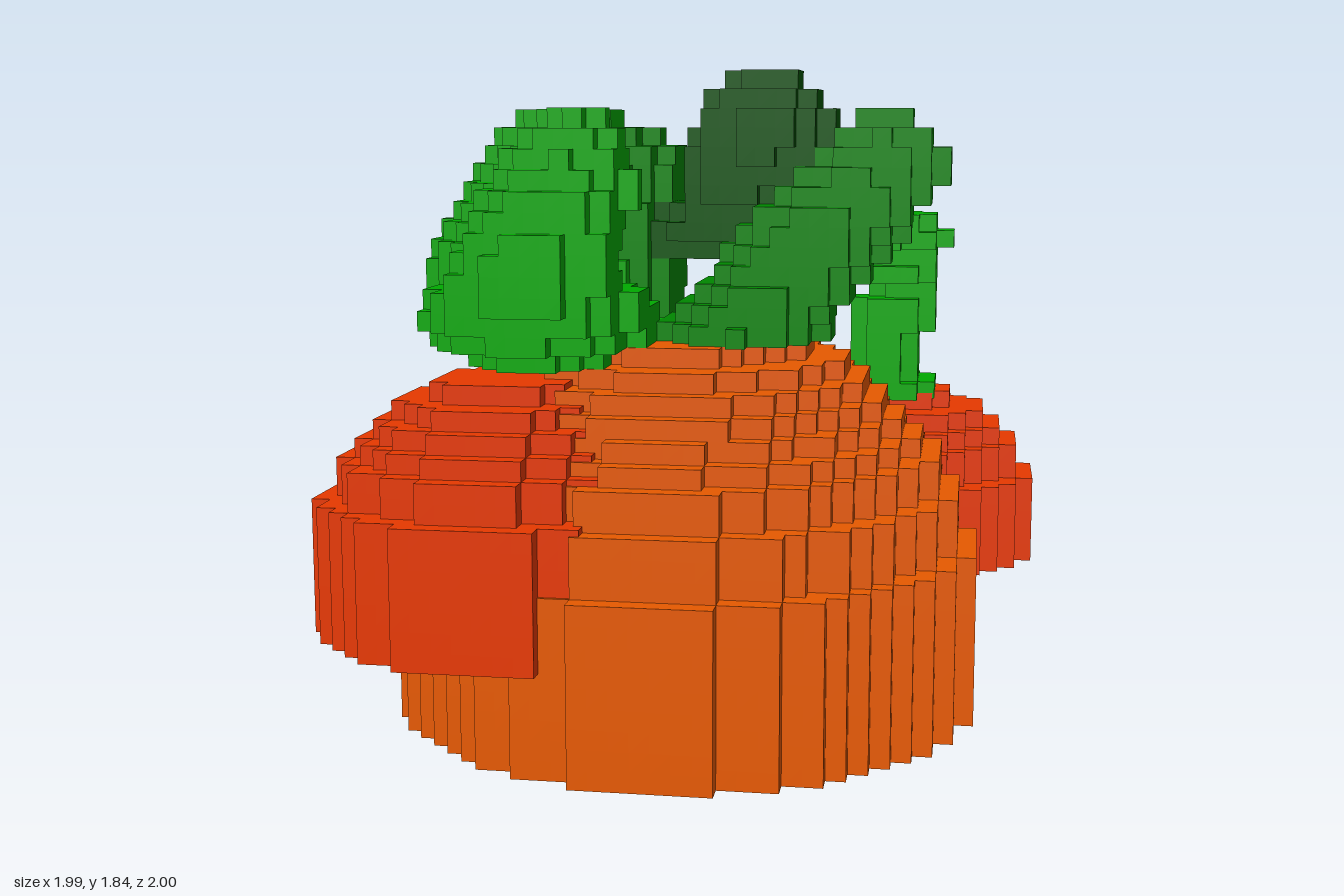
import * as THREE from 'three';

const V = 2 / 37; // edge of one cube

const mat = (name, color) => Object.assign(new THREE.MeshStandardMaterial({ color }), { name });

// unit directions with two tangents (u x v = n) for each cube face
const FACES = [
  [[1, 0, 0], [0, 1, 0], [0, 0, 1]], [[-1, 0, 0], [0, 0, 1], [0, 1, 0]],
  [[0, 1, 0], [0, 0, 1], [1, 0, 0]], [[0, -1, 0], [1, 0, 0], [0, 0, 1]],
  [[0, 0, 1], [1, 0, 0], [0, 1, 0]], [[0, 0, -1], [0, 1, 0], [1, 0, 0]],
];

// builds the visible faces of a set of cubes; origin is the floor centre of cube (0, 0, 0)
function voxelMesh(name, material, origin, cells) {
  const pos = [], nor = [], idx = [];
  const keys = new Set(cells.map((c) => c.join()));
  for (const c of cells) {
    for (const [n, u, v] of FACES) {
      if (keys.has(c.map((q, a) => q + n[a]).join())) continue;
      const b = pos.length / 3;
      for (const [s, t] of [[-1, -1], [1, -1], [1, 1], [-1, 1]]) {
        for (let a = 0; a < 3; a++) {
          const mid = c[a] + (a === 1 ? 0.5 : 0);
          pos.push(origin[a] + V * (mid + 0.5 * (n[a] + s * u[a] + t * v[a])));
        }
        nor.push(...n);
      }
      idx.push(b, b + 1, b + 2, b, b + 2, b + 3);
    }
  }
  const g = new THREE.BufferGeometry();
  g.setAttribute('position', new THREE.Float32BufferAttribute(pos, 3));
  g.setAttribute('normal', new THREE.Float32BufferAttribute(nor, 3));
  g.setIndex(idx);
  const mesh = new THREE.Mesh(g, material);
  mesh.name = name;
  return mesh;
}

// stack of discs; runs are [number of layers, radius, x shift, z shift] in cubes
function discStack(name, material, origin, runs) {
  const cells = [];
  let j = 0;
  for (const [count, r, dx = 0, dz = 0] of runs) {
    const R = Math.ceil(r) + 2;
    for (let l = 0; l < count; l++, j++) {
      for (let i = -R; i <= R; i++)
        for (let k = -R; k <= R; k++) if (Math.hypot(i - dx, k - dz) <= r) cells.push([i, j, k]);
    }
  }
  return voxelMesh(name, material, origin, cells);
}

// leaf swept through a row of ellipsoids [x, y, z, rx, ry, rz]; taken cubes are not reused
function leaf(name, material, taken, row) {
  const balls = [];
  row.forEach((b, n) => {
    const next = row[n + 1];
    if (!next) return balls.push(b);
    for (let s = 0; s < 6; s++) balls.push(b.map((q, a) => q + (next[a] - q) * s / 6));
  });
  const cells = [];
  for (let i = -18; i <= 18; i++) for (let j = 14; j < 35; j++) for (let k = -18; k <= 18; k++) {
    const p = [i * V, (j + 0.5) * V, k * V];
    const inside = balls.some((b) =>
      ((p[0] - b[0]) / b[3]) ** 2 + ((p[1] - b[1]) / b[4]) ** 2 + ((p[2] - b[2]) / b[5]) ** 2 <= 1);
    const key = [i, j, k].join();
    if (inside && !taken.has(key)) {
      taken.add(key);
      cells.push([i, j, k]);
    }
  }
  return voxelMesh(name, material, [-0.005, 0, 0], cells);
}

export function createModel() {
  const orange = mat('orange', 0xe85a00);
  const red = mat('red orange', 0xe83900);
  const bright = mat('bright green', 0x00aa00);
  const middle = mat('middle green', 0x008700);
  const dark = mat('dark green', 0x005500);
  const group = new THREE.Group();
  group.name = 'rootCluster';

  // three stepped domes
  group.add(
    discStack('mainDome', orange, [-0.02, 0, 0.165],
      [[9, 15.4], [3, 14.4], [2, 13.4], [1, 12.3], [1, 11.4], [1, 10.5], [1, 9.5], [1, 8.5], [1, 6.4]]),
    discStack('frontDome', red, [-0.482, 0.287, 0.48],
      [[7, 9.6], [2, 8.5], [1, 7.5], [1, 6.5], [1, 5.5], [1, 3.7]]),
    discStack('backDome', red, [0.588, 0.287, -0.594],
      [[5, 7.4], [2, 6.4], [1, 5.6], [1, 4.6], [1, 2.6]]),
  );

  // small knobs on the main dome
  group.add(
    voxelMesh('sideKnob', red, [0.755, 0.28, -0.045], [[0, 0, 0], [0, 1, 0]]),
    voxelMesh('topKnob', orange, [-0.13, 1.08, 0.1], [[0, 0, 0], [-1, 0, 0]]),
  );

  // wobbly stem on the back dome
  group.add(discStack('backStem', bright, [0.54, 0.81, -0.54], [
    [1, 2.9, 0, -0.5], [3, 2.3, -0.5, 0], [1, 2.3, -0.2, 0.5], [1, 2.2, 0, 0.3], [1, 1.7, 0.6, 0.2],
    [1, 2.8, 0.2, 0.6], [1, 2.4, 0.4, 0.3], [1, 3.2, 0, 0.8], [1, 2.4, 0.3, 0.8],
  ]));

  // leaves
  const taken = new Set();
  group.add(
    leaf('darkLeaf', dark, taken, [
      [0.2, 1.66, 0.1, 0.2, 0.18, 0.19], [0.07, 1.43, 0.08, 0.13, 0.1, 0.13],
      [-0.07, 1.36, 0.06, 0.09, 0.08, 0.1],
    ]),
    leaf('rightLeaf', middle, taken, [
      [0.15, 1.11, 0.22, 0.24, 0.06, 0.27], [0.25, 1.22, 0.21, 0.2, 0.12, 0.23],
      [0.36, 1.38, 0.2, 0.2, 0.15, 0.21], [0.54, 1.57, 0.13, 0.19, 0.15, 0.17],
    ]),
    leaf('innerLeaf', middle, taken, [
      [-0.2, 1.15, 0, 0.14, 0.12, 0.2], [-0.25, 1.52, -0.07, 0.19, 0.15, 0.26],
    ]),
    leaf('frontLeaf', bright, taken, [
      [-0.25, 1.1, 0.28, 0.16, 0.08, 0.14], [-0.38, 1.17, 0.53, 0.3, 0.14, 0.27],
      [-0.37, 1.21, 0.66, 0.25, 0.1, 0.17], [-0.34, 1.34, 0.7, 0.21, 0.1, 0.13],
      [-0.3, 1.49, 0.6, 0.2, 0.09, 0.17], [-0.27, 1.58, 0.57, 0.16, 0.1, 0.13],
      [-0.27, 1.69, 0.49, 0.05, 0.05, 0.05],
    ]),
    leaf('backLeaf', bright, taken, [
      [-0.49, 1.24, 0.12, 0.3, 0.25, 0.29], [-0.5, 1.42, -0.03, 0.24, 0.15, 0.24],
      [-0.44, 1.59, -0.21, 0.24, 0.15, 0.25],
    ]),
  );
  return group;
}
